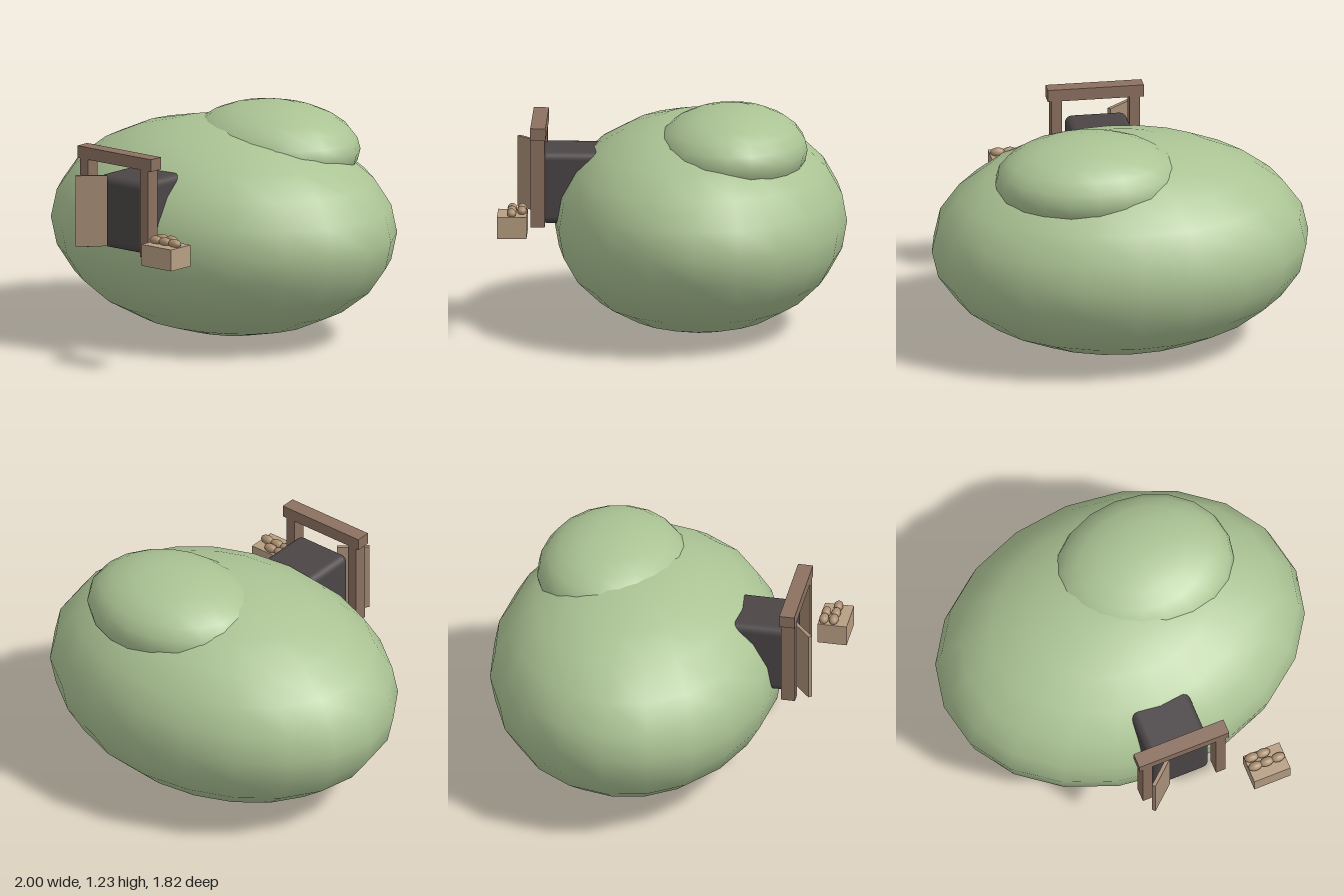
import * as THREE from 'three';
import { RoundedBoxGeometry } from 'three/addons/geometries/RoundedBoxGeometry.js';

export function createModel() {
  const group = new THREE.Group();
  const material = (name, color) => {
    const m = new THREE.MeshStandardMaterial({ color });
    m.name = name;
    return m;
  };
  const grass = material('grass', 0xabc394);
  const timber = material('timber', 0x8b7160);
  const dark = material('dark opening', 0x4b4546);
  const plank = material('door plank', 0xa78e78);
  const crateWood = material('crate wood', 0xb79e83);
  const crust = material('loaf', 0xaa8e70);

  const add = (name, geometry, mat, x, y, z) => {
    const mesh = new THREE.Mesh(geometry, mat);
    mesh.name = name;
    mesh.position.set(x, y, z);
    group.add(mesh);
    return mesh;
  };
  const ellipsoid = (name, mat, pos, radii, w = 20, h = 12) => {
    const g = new THREE.SphereGeometry(1, w, h).scale(...radii);
    return add(name, g, mat, ...pos);
  };

  // Hill with a smaller knoll on its back left shoulder
  ellipsoid('hill', grass, [0, 0.575, -0.14], [1, 0.57, 0.77]);
  ellipsoid('knoll', grass, [0.2, 1.0, -0.31], [0.49, 0.235, 0.4]);

  // Dark rounded passage running into the hill
  add('passage', new RoundedBoxGeometry(0.33, 0.385, 0.4, 3, 0.04), dark, 0, 0.772, 0.5);

  // Timber door frame
  for (const side of [-1, 1]) {
    add(side < 0 ? 'rightPost' : 'leftPost',
      new THREE.BoxGeometry(0.055, 0.475, 0.075), timber, side * 0.2075, 0.817, 0.707);
  }
  add('lintel', new THREE.BoxGeometry(0.51, 0.065, 0.08), timber, 0, 1.082, 0.705);

  // Door standing ajar
  const door = add('door', new THREE.BoxGeometry(0.17, 0.38, 0.02), plank, -0.14, 0.785, 0.764);
  door.rotation.y = 0.72;

  // Crate with two rows of small loaves
  add('crate', new THREE.BoxGeometry(0.205, 0.115, 0.155), crateWood, 0.4325, 0.642, 0.832);
  const rows = [[0.782, 2], [0.834, 3]];
  for (const [z, count] of rows) {
    for (let i = 0; i < count; i++) {
      ellipsoid('loaf', crust, [0.367 + i * 0.064, 0.714, z], [0.04, 0.024, 0.025], 12, 8);
    }
  }
  return group;
}
